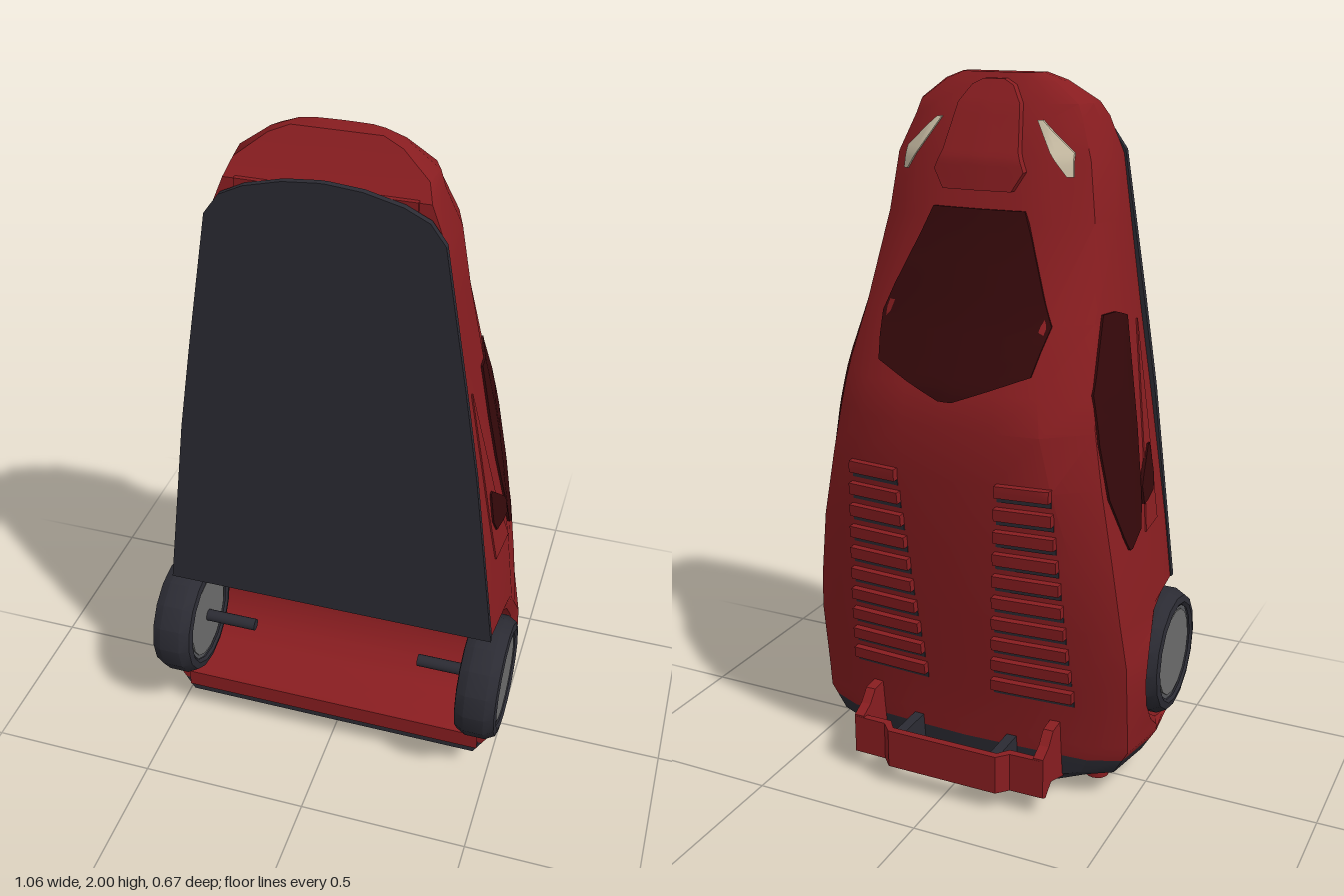
import * as THREE from 'three';
import { toCreasedNormals } from 'three/addons/utils/BufferGeometryUtils.js';

const mat = (name, color) => new THREE.MeshStandardMaterial({ name, color, side: THREE.DoubleSide });
const mix = (a, b, t) => a + (b - a) * t;

// Reads a polyline: finds the value v on axis "from" and returns the other axis
function along(pts, from, to, v) {
  let i = 1;
  while (i < pts.length - 1 && (v - pts[i - 1][from]) * (v - pts[i][from]) > 0) i++;
  const a = pts[i - 1], b = pts[i];
  return mix(a[to], b[to], (v - a[from]) / (b[from] - a[from]));
}

// Guide curves from tail to nose, as [y, value]
const roofLine = [[0.03, -0.17], [0.24, -0.195], [0.565, -0.245], [0.95, -0.293], [1.1, -0.298], [1.2, -0.28],
  [1.37, -0.19], [1.62, -0.085], [1.78, -0.06], [1.92, 0.005], [1.995, 0.05]];
const widthLine = [[0.03, 0.3], [0.08, 0.47], [0.155, 0.515], [0.44, 0.515], [0.75, 0.475], [1.1, 0.42],
  [1.37, 0.375], [1.78, 0.312], [1.92, 0.254], [1.975, 0.175], [1.995, 0.12]];
const underLine = [[0.03, 0.02], [0.055, 0.165], [0.08, 0.21], [1.78, 0.21], [1.88, 0.2], [1.92, 0.165], [1.995, 0.11]];
const tailY = [0.03, 0.055, 0.08, 0.125];
const archY = Array.from({ length: 9 }, (_, i) => 0.36 - 0.2 * Math.cos(Math.PI * i / 8));
const shellY = [0.125, 0.155, ...archY, 0.565, 0.75, 0.95, 1.1, 1.2, 1.37, 1.62, 1.78, 1.88, 1.92, 1.975, 1.995];

// Half outline [x, z] from the underside centre round to the roof centre
function section(y) {
  const roof = along(roofLine, 0, 1, y), w = along(widthLine, 0, 1, y), under = along(underLine, 0, 1, y);
  const arch = Math.abs(y - 0.36) < 0.2001;
  const floor = arch ? 0.15 - Math.sqrt(Math.max(0, 0.04 - (y - 0.36) ** 2)) : under;
  const cabin = THREE.MathUtils.smoothstep(y, 0.6, 1.2);
  const at = (t) => mix(under, roof, t);
  return [[0, floor], [w * 0.965, floor], [w, Math.min(at(0.45), floor - 0.03)], [w * mix(0.94, 0.91, cabin), at(mix(0.85, 0.75, cabin))],
    [w * mix(0.76, 0.62, cabin), at(0.95)], [w * 0.31, at(0.985)], [0, roof]];
}

function build(pos, idx) {
  const g = new THREE.BufferGeometry();
  g.setAttribute('position', new THREE.Float32BufferAttribute(pos, 3));
  g.setIndex(idx);
  return toCreasedNormals(g, 0.6);
}

// Skins the sections at the given heights and closes both ends
function loft(heights) {
  const pos = [], idx = [], n = 12, last = heights.length - 1;
  heights.forEach((y) => {
    const h = section(y);
    [...h, ...h.slice(1, 6).reverse().map(([x, z]) => [-x, z])].forEach(([x, z]) => pos.push(x, y, z));
  });
  for (let i = 0; i < last; i++) for (let j = 0; j < n; j++) {
    const a = i * n + j, b = i * n + (j + 1) % n;
    idx.push(a, b, b + n, a, b + n, a + n);
  }
  [0, last].forEach((i) => {
    const h = section(heights[i]), c = pos.length / 3;
    pos.push(0, heights[i], (h[0][1] + h[6][1]) / 2);
    for (let j = 0; j < n; j++) {
      const a = i * n + j, b = i * n + (j + 1) % n;
      if (i) idx.push(c, a, b); else idx.push(c, b, a);
    }
  });
  return build(pos, idx);
}

// Place a point on the roof by x, or on a flank by z
const onRoof = (s) => (y, x, off) => [s * x, y, along(section(y).slice(2), 0, 1, Math.abs(x)) - off];
const onSide = (s) => (y, z, off) => [s * (along(section(y).slice(1), 1, 0, z) + off), y, z];

// Plate that hugs the shell; rows are [y, start, end], edges sink into the shell
function patch(rows, place, off) {
  const grid = [], pos = [], idx = [], cols = 8, w = cols + 3;
  rows.forEach((r, i) => {
    const next = rows[i + 1];
    for (let k = 0; k < (next ? 4 : 1); k++) grid.push(next ? r.map((v, c) => mix(v, next[c], k / 4)) : r);
  });
  const all = [grid[0], ...grid, grid[grid.length - 1]];
  all.forEach(([y, a, b], i) => {
    for (let j = 0; j < w; j++) {
      const t = THREE.MathUtils.clamp((j - 1) / cols, 0, 1);
      const rim = i === 0 || i === all.length - 1 || j === 0 || j === w - 1;
      pos.push(...place(y, mix(a, b, t), rim ? -0.01 : off));
      if (i && j) {
        const p = i * w + j;
        idx.push(p, p - 1, p - w - 1, p, p - w - 1, p - w);
      }
    }
  });
  return build(pos, idx);
}

// Closed outline drawn out in depth, and the same mirrored about x = 0
function extrude(points, depth) {
  const shape = new THREE.Shape(points.map(([x, y]) => new THREE.Vector2(x, y)));
  return new THREE.ExtrudeGeometry(shape, { depth, bevelEnabled: false });
}
const mirrored = (points, depth) => extrude([...points, ...points.map(([x, y]) => [-x, y]).reverse()], depth);

export function createModel() {
  const model = new THREE.Group();
  const red = mat('body red', 0x881d20), glass = mat('dark red glass', 0x34080a), black = mat('charcoal', 0x2b2b33);
  const grey = mat('rim grey', 0x6c6c6c), dark = mat('rim edge grey', 0x55565a), cream = mat('lamp cream', 0xcbbfa6);
  const add = (name, geo, m, x = 0, y = 0, z = 0, parent = model) => {
    const mesh = new THREE.Mesh(geo, m);
    mesh.name = name;
    mesh.position.set(x, y, z);
    parent.add(mesh);
    return mesh;
  };
  const box = (w, h, d) => new THREE.BoxGeometry(w, h, d);
  const disc = (r, h) => new THREE.CylinderGeometry(r, r, h, 16);

  add('bodyShell', loft(shellY), red);
  add('rearBumper', loft(tailY), black);
  add('rearBumperUnderside', box(0.93, 0.055, 0.006), red, 0, 0.128, 0.211);

  // Flat underside panel and the lip in front of it
  add('undersidePanel', mirrored([[0.485, 0.565], [0.413, 1.13], [0.372, 1.39], [0.305, 1.79], [0.265, 1.845],
    [0.2, 1.877], [0.1, 1.902], [0.01, 1.91]], 0.018), black, 0, 0, 0.21);
  add('noseLip', box(0.46, 0.04, 0.045), red, 0, 1.865, 0.187);

  // Windscreen and raised bonnet
  const across = (rows) => rows.map(([y, x]) => [y, -x, x]);
  add('windscreen', patch(across([[1.65, 0.135], [1.37, 0.25], [1.25, 0.225], [1.17, 0.02]]), onRoof(1), 0.006), glass);
  add('bonnetBulge', patch(across([[1.7, 0.1], [1.75, 0.13], [1.8, 0.11], [1.92, 0.09], [1.965, 0.06], [1.98, 0.03]]), onRoof(1), 0.024), red);

  for (const s of [1, -1]) {
    const side = s > 0 ? 'left' : 'right';
    // Side glass, sill and intake
    add(side + 'Window', patch([[1.39, 0, -0.055], [1.37, 0.06, -0.065], [1.2, 0.045, -0.16], [1.07, 0.03, -0.172],
      [0.92, 0, -0.165], [0.8, -0.03, -0.12], [0.76, -0.085, -0.1]], onSide(s), 0.006), glass);
    add(side + 'DoorSill', patch([[1.34, 0.155, 0.15], [0.95, 0.135, 0.06], [0.78, 0.12, 0]], onSide(s), 0.004), red);
    add(side + 'Intake', patch([[1, 0.115, 0.1], [0.93, 0.12, 0.02], [0.91, 0.12, 0], [0.87, 0.1, 0], [0.86, 0.04, 0]], onSide(s), 0.009), glass);
    add(side + 'Headlight', patch([[1.74, 0.235, 0.25], [1.8, 0.19, 0.245], [1.88, 0.14, 0.155]], onRoof(s), 0.009), cream);

    // Engine cover louvres
    for (let i = 0; i < 10; i++) {
      const y = 0.945 - i * 0.068, a = 0.15 - i * 0.005, b = 0.3 + i * 0.005;
      add(side + 'Louvre', patch([[y + 0.018, a, b], [y - 0.016, a, b]], onRoof(s), 0.022), red);
      add(side + 'LouvreGap', patch([[y - 0.012, a, b], [y - 0.034, a, b]], onRoof(s), 0.003), black);
    }

    // Spoiler end fin, drawn from the side as [-z, y], and strut
    const fin = extrude([[0.15, 0.05], [0.24, 0.08], [0.28, 0.05], [0.3, 0.06], [0.3, 0.18], [0.26, 0.2], [0.23, 0.235], [0.17, 0.24]], 0.03);
    add(side + 'SpoilerFin', fin, red, s * 0.285 - 0.015).rotation.y = Math.PI / 2;
    add(side + 'SpoilerStrut', box(0.03, 0.08, 0.16), black, s * 0.15, 0.12, -0.24);

    // Tail lamps
    add(side + 'TailLamp', disc(0.034, 0.05), red, s * 0.37, 0.055, -0.06);
    add(side + 'TailLampLens', disc(0.018, 0.006), cream, s * 0.37, 0.028, -0.06);

    // Wheel, turned so its axle lies across the car and points inward
    const wheel = new THREE.Group();
    wheel.name = side + 'Wheel';
    wheel.position.set(s * 0.468, 0.355, 0.15);
    wheel.rotation.z = -s * Math.PI / 2;
    model.add(wheel);
    const lower = [[0.14, -0.055], [0.15, -0.062], [0.17, -0.058], [0.185, -0.03]];
    const tread = [...lower, ...lower.map(([r, h]) => [r, -h]).reverse()].map(([r, h]) => new THREE.Vector2(r, h));
    add('tyre', toCreasedNormals(new THREE.LatheGeometry(tread, 16), 0.5), black, 0, 0, 0, wheel);
    add('rimEdge', disc(0.142, 0.1), dark, 0, 0, 0, wheel);
    add('rimFace', disc(0.128, 0.108), grey, 0, 0, 0, wheel);
    add('axle', disc(0.018, 0.16), black, 0, -0.13, 0, wheel);
  }

  // Spoiler blade with a raised middle, drawn in plan and stood up along y
  add('spoilerBlade', mirrored([[0.165, 0.312], [0.19, 0.28], [0.3, 0.28], [0.3, 0.3], [0.2, 0.302], [0.17, 0.334]], 0.115),
    red, 0, 0.06).rotation.x = -Math.PI / 2;

  // Rear plate
  add('plateHolder', box(0.24, 0.025, 0.11), black, 0, 0.0165, -0.03);
  add('rearPlate', box(0.2, 0.008, 0.08), cream, 0, 0.004, -0.03);
  return model;
}
